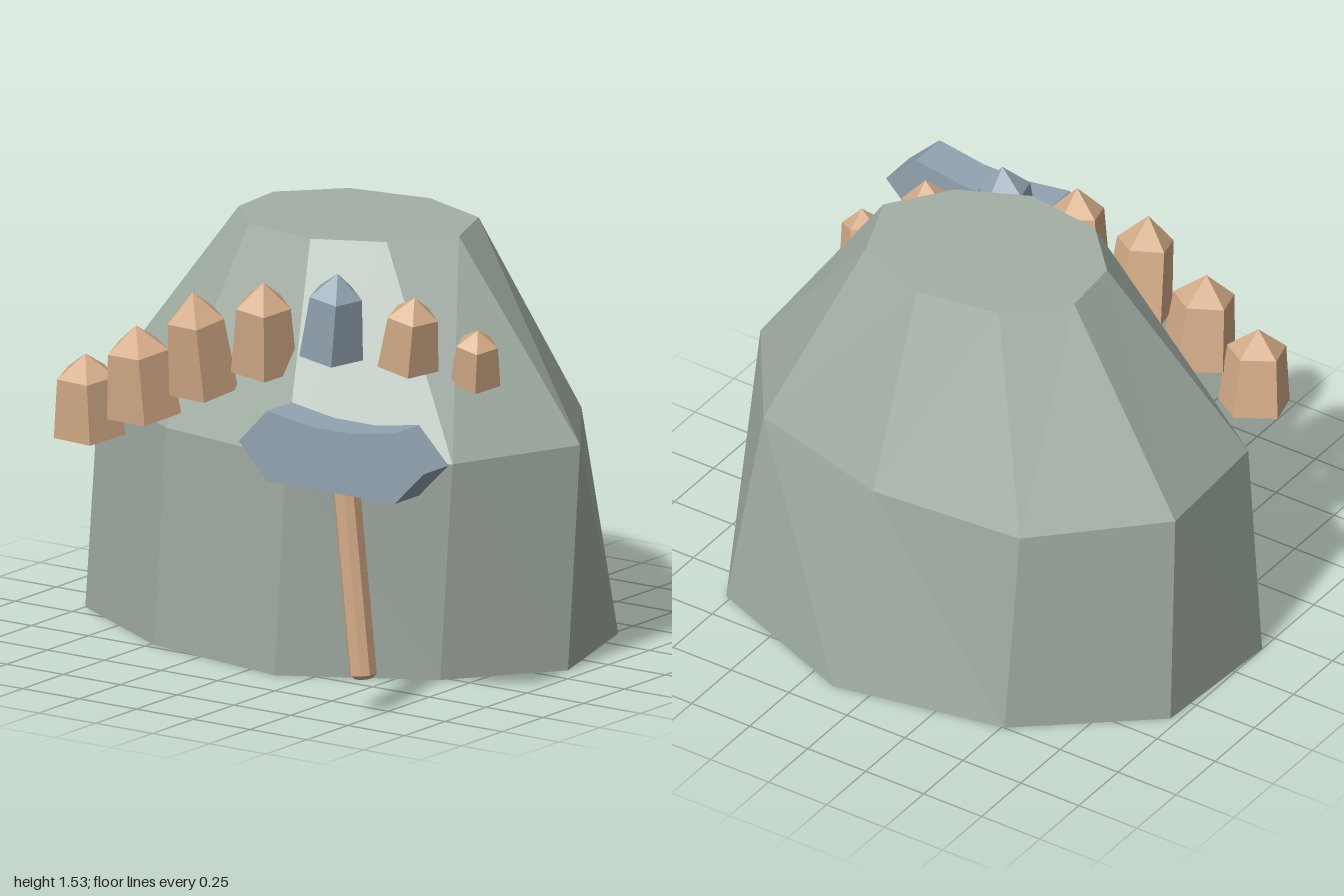
import * as THREE from 'three';

const material = (color, extra = {}) =>
  new THREE.MeshStandardMaterial({ color, flatShading: true, ...extra });
const stone = material(0xa3afa5);
const metal = material(0x92a3b0);
const wood = material(0xd4ab87);

function addMesh(parent, name, geometry, mat) {
  const mesh = new THREE.Mesh(geometry, mat);
  mesh.name = name;
  parent.add(mesh);
  return mesh;
}

// Faceted solid through stacked rings of [x, z] points, closed at both ends
function loft(rings, heights, diagonals) {
  const pos = [];
  const n = rings[0].length;
  const at = (r, i) => [rings[r][i % n][0], heights[r], rings[r][i % n][1]];
  for (let r = 0; r < rings.length - 1; r++) {
    for (let i = 0; i < n; i++) {
      const a = at(r, i), b = at(r, i + 1), c = at(r + 1, i + 1), d = at(r + 1, i);
      if (diagonals[r]) pos.push(...a, ...b, ...c, ...a, ...c, ...d);
      else pos.push(...a, ...b, ...d, ...b, ...c, ...d);
    }
  }
  const last = rings.length - 1;
  for (let i = 1; i < n - 1; i++) {
    pos.push(...at(last, 0), ...at(last, i), ...at(last, i + 1));
    pos.push(...at(0, 0), ...at(0, i + 1), ...at(0, i));
  }
  const geometry = new THREE.BufferGeometry();
  geometry.setAttribute('position', new THREE.Float32BufferAttribute(pos, 3));
  geometry.computeVertexNormals();
  return geometry;
}

// Five-sided tapering peg with a pointed cap, running from base to apex
function addPeg(parent, name, base, apex, radius, mat) {
  const from = new THREE.Vector3(...base);
  const axis = new THREE.Vector3(...apex).sub(from);
  const h = axis.length();
  const profile = [[0, 0], [radius, 0], [radius * 0.82, h * 0.73], [0, h]];
  const geometry = new THREE.LatheGeometry(
    profile.map(([x, y]) => new THREE.Vector2(x, y)), 5, Math.PI / 5);
  const peg = addMesh(parent, name, geometry, mat);
  peg.position.copy(from);
  peg.quaternion.setFromUnitVectors(new THREE.Vector3(0, 1, 0), axis.normalize());
}

export function createModel() {
  const model = new THREE.Group();
  model.name = 'rockWithHammer';

  // Boulder: foot, waist and flat top
  const foot = [[0.12, 0.57], [0.64, 0.28], [0.93, -0.1], [0.77, -0.63], [0.14, -0.88],
    [-0.51, -0.75], [-0.97, -0.37], [-1, 0.17], [-0.48, 0.47]];
  const waist = [[0.19, 0.6], [0.73, 0.33], [0.94, -0.16], [0.63, -0.6], [0.05, -0.76],
    [-0.55, -0.71], [-0.95, -0.31], [-0.92, 0.2], [-0.41, 0.5]];
  const crown = [[0.04, 0.24], [0.29, 0.12], [0.45, -0.1], [0.35, -0.36], [0.05, -0.48],
    [-0.27, -0.43], [-0.46, -0.23], [-0.44, 0.01], [-0.26, 0.2]];
  addMesh(model, 'boulder', loft([foot, waist, crown], [0, 0.82, 1.53], [false, true]), stone);

  // Arc of pegs across the front, one of them metal
  const pegs = new THREE.Group();
  pegs.name = 'pegs';
  model.add(pegs);
  [
    [[-0.73, 0.76, 0.52], [-0.72, 1.06, 0.56], 0.135],
    [[-0.49, 0.87, 0.52], [-0.49, 1.20, 0.57], 0.14],
    [[-0.25, 0.99, 0.49], [-0.24, 1.36, 0.57], 0.13],
    [[-0.02, 1.09, 0.44], [0.02, 1.42, 0.50], 0.125],
    [[0.225, 1.16, 0.37], [0.275, 1.47, 0.40], 0.12, metal],
    [[0.47, 1.13, 0.24], [0.52, 1.39, 0.27], 0.115],
    [[0.665, 1.07, 0.10], [0.705, 1.27, 0.14], 0.095],
  ].forEach(([base, apex, r, mat = wood], i) => addPeg(pegs, `peg${i + 1}`, base, apex, r, mat));

  // Hammer
  const hammer = new THREE.Group();
  hammer.name = 'hammer';
  model.add(hammer);

  // Double-pointed head with a dished top
  const headShape = new THREE.Shape([
    [0.185, 0.94], [0.31, 0.81], [0.87, 0.81], [1, 0.94], [0.87, 1.07],
    [0.68, 1.04], [0.5, 1.04], [0.31, 1.07],
  ].map(([x, y]) => new THREE.Vector2(x, y)));
  const head = new THREE.ExtrudeGeometry(headShape, { depth: 0.15, bevelEnabled: false });
  addMesh(hammer, 'hammerHead', head.translate(0, 0, 0.73), metal);

  // Square handle with chamfered edges, slightly slanted
  const s = 0.03, c = 0.015;
  const section = new THREE.Shape([
    [s, -s + c], [s, s - c], [s - c, s], [-s + c, s],
    [-s, s - c], [-s, -s + c], [-s + c, -s], [s - c, -s],
  ].map(([x, y]) => new THREE.Vector2(x, y)));
  const handleGeometry = new THREE.ExtrudeGeometry(section, {
    depth: 0.75, bevelSize: c, bevelThickness: c, bevelSegments: 1,
  });
  const handle = addMesh(hammer, 'hammerHandle', handleGeometry.rotateX(-Math.PI / 2), wood);
  handle.position.set(0.682, 0.14, 0.81);
  handle.rotation.z = 0.109;

  return model;
}
